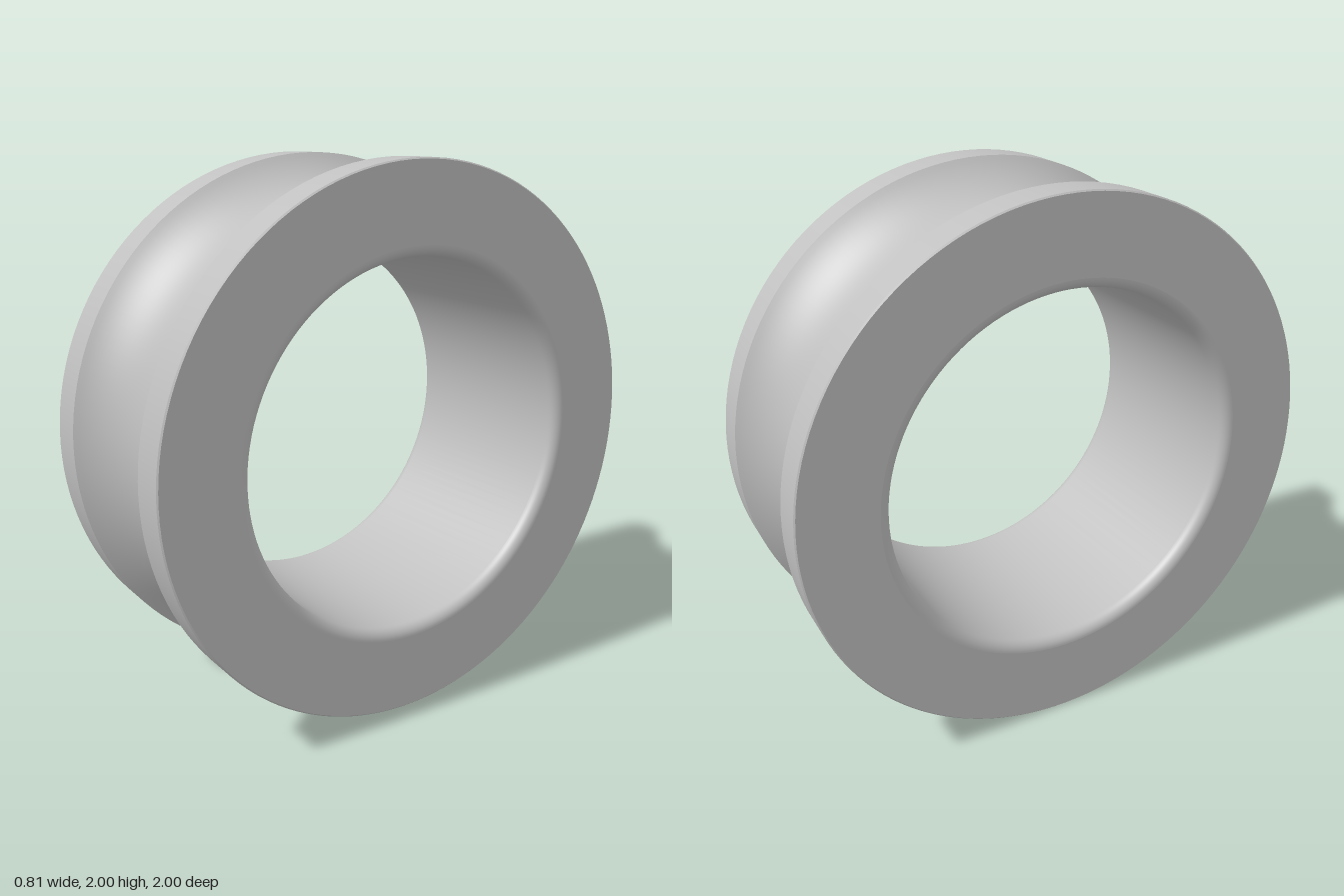
import * as THREE from 'three';

const HALF_WIDTH = 0.405, OUTER = 1, BORE = 0.675;
const GROOVE_HALF = 0.27, GROOVE_DEPTH = 0.135;
const FILLET = 0.04, BEVEL = 0.005;

// Points on an arc, as (radius, position along the axis)
function arc(cr, ca, r, from, to, steps) {
  return Array.from({ length: steps + 1 }, (_, i) => {
    const t = from + (to - from) * i / steps;
    return new THREE.Vector2(cr + r * Math.cos(t), ca + r * Math.sin(t));
  });
}

const line = (...pairs) => pairs.map(([r, a]) => new THREE.Vector2(r, a));

// Same profile on the other side, reversed so it still faces outward
const mirror = (pts) => pts.map((p) => new THREE.Vector2(p.x, -p.y)).reverse();

export function createModel() {
  const model = new THREE.Group();
  model.name = 'groovedRing';
  const steel = new THREE.MeshStandardMaterial({ color: 0xc0c0c0 });
  steel.name = 'steel grey';

  const ring = new THREE.Group();
  ring.name = 'ring';
  ring.rotation.z = -Math.PI / 2; // axis along x
  ring.position.y = 1;
  model.add(ring);

  // Each profile section is its own surface, so edges between them stay sharp
  function add(name, pts) {
    const mesh = new THREE.Mesh(new THREE.LatheGeometry(pts, 128), steel);
    mesh.name = name;
    ring.add(mesh);
  }
  function addPair(name, pts) {
    add(name + 'Left', pts);
    add(name + 'Right', mirror(pts));
  }

  // Ball groove around the outside
  const R = (GROOVE_HALF ** 2 + GROOVE_DEPTH ** 2) / (2 * GROOVE_DEPTH);
  const half = Math.asin(GROOVE_HALF / R);
  add('groove', arc(OUTER - GROOVE_DEPTH + R, 0, R, Math.PI + half, Math.PI - half, 32));

  // Shoulders, their fine edge bevels and the flat side faces
  addPair('shoulder', line([OUTER, GROOVE_HALF], [OUTER, HALF_WIDTH - BEVEL]));
  addPair('edgeBevel', line([OUTER, HALF_WIDTH - BEVEL], [OUTER - BEVEL, HALF_WIDTH]));
  addPair('sideFace', line([OUTER - BEVEL, HALF_WIDTH], [BORE + FILLET, HALF_WIDTH]));

  // Bore with rounded mouths
  addPair('boreFillet', arc(BORE + FILLET, HALF_WIDTH - FILLET, FILLET, Math.PI / 2, Math.PI, 10));
  add('bore', line([BORE, HALF_WIDTH - FILLET], [BORE, FILLET - HALF_WIDTH]));

  return model;
}
